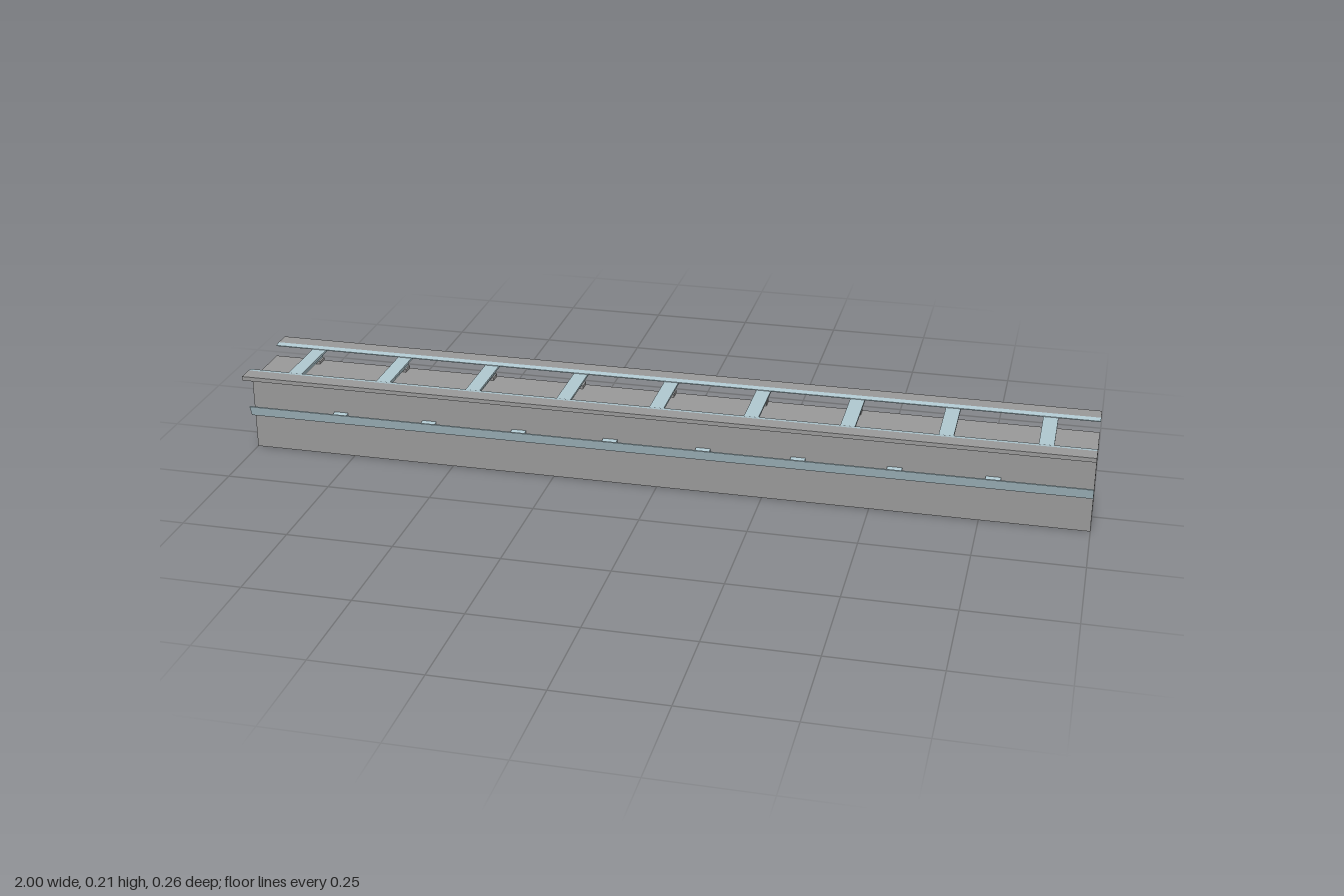
import * as THREE from 'three';

export function createModel() {
  const model = new THREE.Group();
  const concrete = new THREE.MeshStandardMaterial({ color: 0x999999 });
  concrete.name = 'concrete grey';
  const steel = new THREE.MeshStandardMaterial({ color: 0xb0c8d0 });
  steel.name = 'pale blue steel';

  // Extrude a [z, y] cross-section along x, centred on the given x
  function bar(name, section, width, x, material) {
    const shape = new THREE.Shape(section.map(([z, y]) => new THREE.Vector2(-z, y)));
    const geometry = new THREE.ExtrudeGeometry(shape, { depth: width, bevelEnabled: false });
    geometry.translate(0, 0, -width / 2).rotateY(Math.PI / 2);
    const mesh = new THREE.Mesh(geometry, material);
    mesh.name = name;
    mesh.position.x = x;
    model.add(mesh);
  }

  // Main beam
  bar('beam', [[-0.075, 0], [0.075, 0], [0.075, 0.178], [-0.075, 0.178]], 2, 0, concrete);

  // Cross ties with a wide flange, a narrow web and two feet on the beam
  for (let i = -4; i <= 4; i++) {
    const x = i * 0.222;
    bar('tieFlange', [[-0.089, 0.198], [0.089, 0.198], [0.094, 0.2045], [0.075, 0.203],
      [-0.075, 0.203], [-0.094, 0.2045]], 0.034, x, steel);
    bar('tieWeb', [[-0.075, 0.185], [0.075, 0.185], [0.089, 0.198], [-0.089, 0.198]], 0.018, x, steel);
    for (const s of [-1, 1]) {
      bar('tieFoot', [[s * 0.047, 0.178], [s * 0.075, 0.178], [s * 0.075, 0.185], [s * 0.047, 0.185]],
        0.026, x, concrete);
    }
  }

  for (const s of [-1, 1]) {
    const side = (points) => points.map(([z, y]) => [s * z, y]);

    // Running plate with a turned-down outer lip
    bar('runningPlate', side([[0.092, 0.2045], [0.128, 0.2045], [0.128, 0.197], [0.131, 0.197],
      [0.131, 0.207], [0.092, 0.207]]), 2, 0, concrete);

    // Sloping inner edge of the running plate
    bar('plateInnerEdge', side([[0.077, 0.2025], [0.092, 0.2045], [0.092, 0.207], [0.077, 0.2045]]),
      2, 0, steel);

    // Tilted guide rail on the flank
    bar('guideRail', side([[0.093, 0.092], [0.0955, 0.0915], [0.1045, 0.117], [0.102, 0.118]]),
      2, 0, steel);

    // Guide rail brackets, midway between the ties
    for (let i = 0; i < 8; i++) {
      bar('guideBracket', side([[0.075, 0.091], [0.093, 0.093], [0.0985, 0.108], [0.075, 0.112]]),
        0.034, (i - 3.5) * 0.222, steel);
    }
  }

  return model;
}
